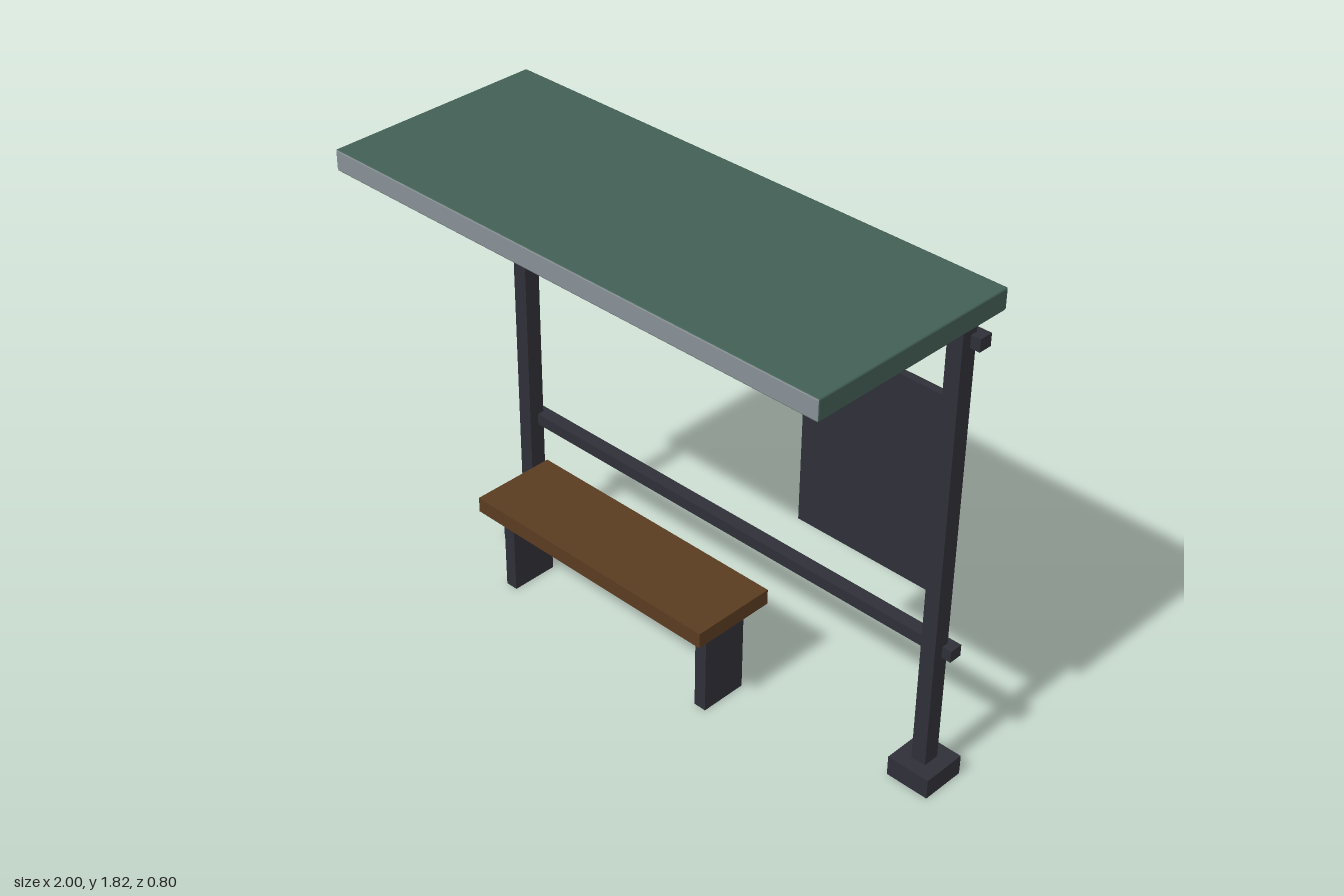
import * as THREE from 'three';
import { RoundedBoxGeometry } from 'three/addons/geometries/RoundedBoxGeometry.js';

function material(name, color) {
  const m = new THREE.MeshStandardMaterial({ color });
  m.name = name;
  return m;
}

export function createModel() {
  const metal = material('dark metal', 0x2f2f38);
  const wood = material('brown wood', 0x5a3c21);
  const green = material('green roof', 0x425f54);
  const grey = material('grey fascia', 0x879096);

  const model = new THREE.Group();
  model.name = 'busShelter';

  // Box given by its lower and upper bounds on each axis
  function box(name, [x0, x1], [y0, y1], [z0, z1], mat, parent = model) {
    const mesh = new THREE.Mesh(new THREE.BoxGeometry(x1 - x0, y1 - y0, z1 - z0), mat);
    mesh.position.set((x0 + x1) / 2, (y0 + y1) / 2, (z0 + z1) / 2);
    mesh.name = name;
    parent.add(mesh);
  }

  // Roof slab with softened edges; grey front and back faces
  const roof = new THREE.Mesh(
    new RoundedBoxGeometry(1.984, 0.074, 0.8, 1, 0.006),
    [green, green, green, green, grey, grey]
  );
  roof.position.y = 1.783;
  roof.name = 'roof';
  model.add(roof);

  // Posts on square footings
  for (const [side, s] of [['left', 1], ['right', -1]]) {
    const x = 0.918 * s;
    box(side + 'Post', [x - 0.028, x + 0.028], [0.07, 1.75], [-0.333, -0.271], metal);
    box(side + 'Footing', [x - 0.082, x + 0.082], [0, 0.075], [-0.387, -0.22], metal);
  }

  // Horizontal rails behind the posts
  box('lowerRail', [-0.981, 0.981], [0.502, 0.545], [-0.357, -0.307], metal);
  box('upperRail', [-0.981, 0.981], [1.64, 1.684], [-0.357, -0.307], metal);

  // Notice panel on the left post
  box('noticePanel', [0.317, 0.898], [0.7, 1.423], [-0.361, -0.333], metal);

  // Bench with slab legs
  const bench = new THREE.Group();
  bench.name = 'bench';
  model.add(bench);
  box('seat', [-0.822, 0.242], [0.335, 0.393], [-0.283, 0.043], wood, bench);
  for (const [side, x] of [['right', -0.753], ['left', 0.179]]) {
    box(side + 'Leg', [x - 0.024, x + 0.024], [0, 0.336], [-0.21, -0.03], metal, bench);
  }

  return model;
}
